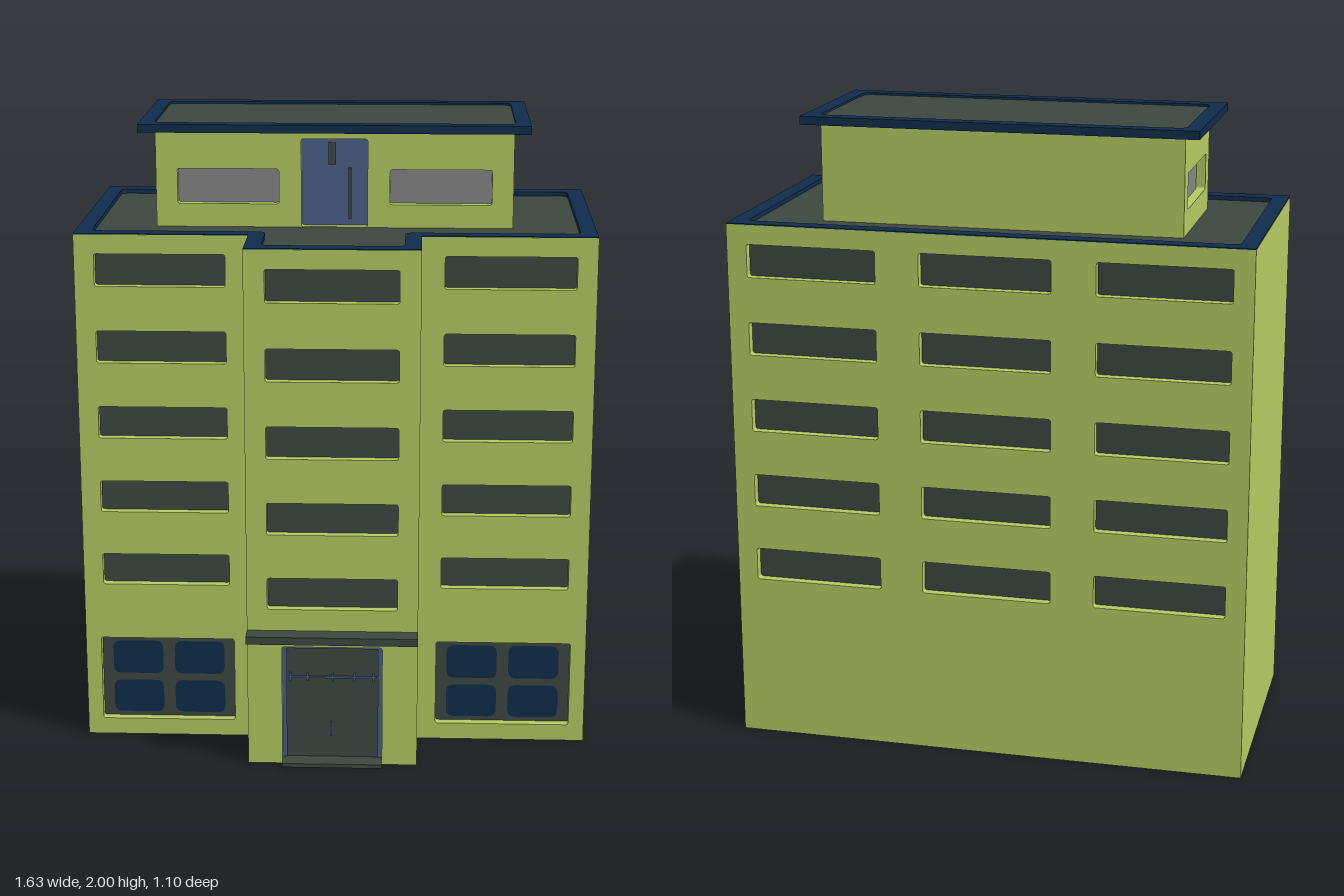
import * as THREE from 'three';

const mat = (name, color, side = THREE.FrontSide) =>
  Object.assign(new THREE.MeshStandardMaterial({ color, side }), { name });
const green = mat('lime wall', 0xb5ca62);
const charcoal = mat('charcoal', 0x3e4640, THREE.DoubleSide);
const navy = mat('navy', 0x0f2d4c, THREE.DoubleSide);
const slate = mat('slate blue', 0x4b5e88, THREE.DoubleSide);
const grey = mat('grey glass', 0x868686, THREE.DoubleSide);

const DEPTH = 0.03; // how far openings are set back

// Closed outline through corner points, each corner rounded by r
function outline(pts, r, Type = THREE.Shape) {
  const s = new Type();
  const v = pts.map(([x, y]) => new THREE.Vector2(x, y));
  v.forEach((p, i) => {
    const prev = v[(i + v.length - 1) % v.length], next = v[(i + 1) % v.length];
    const a = p.clone().add(prev.clone().sub(p).setLength(r));
    const b = p.clone().add(next.clone().sub(p).setLength(r));
    if (i === 0) s.moveTo(a.x, a.y); else s.lineTo(a.x, a.y);
    s.quadraticCurveTo(p.x, p.y, b.x, b.y);
  });
  s.closePath();
  return s;
}
const corners = (x0, x1, y0, y1) => [[x0, y0], [x1, y0], [x1, y1], [x0, y1]];
const sharp = (pts) => new THREE.Shape(pts.map(([x, y]) => new THREE.Vector2(x, y)));

function add(parent, name, geometry, material, x = 0, y = 0, z = 0) {
  const m = new THREE.Mesh(geometry, material);
  m.name = name;
  m.position.set(x, y, z);
  parent.add(m);
  return m;
}
// Box given by its limits
function box(parent, name, material, x0, x1, y0, y1, z0, z1) {
  return add(parent, name, new THREE.BoxGeometry(x1 - x0, y1 - y0, z1 - z0), material,
    (x0 + x1) / 2, (y0 + y1) / 2, (z0 + z1) / 2);
}
// Flat plate facing +z
const plate = (parent, name, material, rect, z, r = 0.008) =>
  add(parent, name, new THREE.ShapeGeometry(outline(corners(...rect), r), 3), material, 0, 0, z);

// Wall with its outer face at local z = 0, openings cut through and a panel behind each
function wall(parent, name, rect, openings, position, rotY = 0) {
  const g = new THREE.Group();
  g.name = name;
  g.position.set(...position);
  g.rotation.y = rotY;
  parent.add(g);
  const s = sharp(corners(...rect));
  openings.forEach((o) => s.holes.push(outline(corners(...o.rect), 0.008, THREE.Path)));
  const geo = new THREE.ExtrudeGeometry(s, { depth: DEPTH, bevelEnabled: false, curveSegments: 3 });
  add(g, name + 'Surface', geo.translate(0, 0, -DEPTH), green);
  for (const o of openings) {
    const [x0, x1, y0, y1] = o.rect;
    plate(g, o.name, o.material, [x0 - 0.003, x1 + 0.003, y0 - 0.003, y1 + 0.003], -DEPTH + 0.001);
  }
  return g;
}

// Horizontal layer from an (x, z) shape, top at y
function layer(parent, name, shape, depth, material, y) {
  const geo = new THREE.ExtrudeGeometry(shape, { depth, bevelEnabled: false, curveSegments: 4 });
  // plan is drawn in (x, -z)
  return add(parent, name, geo.rotateX(-Math.PI / 2), material, 0, y - depth, 0);
}

// Five storeys of window openings around a column centre
const windows = (cx) => Array.from({ length: 5 }, (_, i) => ({
  name: 'window', material: charcoal,
  rect: [cx - 0.205, cx + 0.205, 0.526 + 0.247 * i, 0.63 + 0.247 * i],
}));

function buildTower(root) {
  const g = new THREE.Group();
  g.name = 'tower';
  root.add(g);
  const top = 1.679;

  // Wings with shop windows
  for (const side of [-1, 1]) {
    const cx = 0.547 * side;
    const rect = side > 0 ? [0.25, 0.815, 0, top] : [-0.815, -0.25, 0, top];
    const wing = wall(g, 'wingFront', rect, [
      ...windows(cx),
      { name: 'shopWindowFrame', material: charcoal, rect: [cx - 0.218, cx + 0.218, 0.055, 0.34] },
    ], [0, 0, 0.28]);
    for (const dx of [-0.101, 0.101])
      for (const [y0, y1] of [[0.07, 0.182], [0.206, 0.32]])
        plate(wing, 'shopPane', navy, [cx + dx - 0.082, cx + dx + 0.082, y0, y1], -DEPTH + 0.005, 0.025);
    // side walls and projecting bay sides
    const x = 0.815 * side, b = 0.27 * side;
    box(g, 'sideWall', green, Math.min(x, x - 0.01 * side), Math.max(x, x - 0.01 * side), 0, top, -0.55, 0.28);
    box(g, 'baySide', green, Math.min(b, b - 0.01 * side), Math.max(b, b - 0.01 * side), 0, top, 0.25, 0.49);
  }

  // Central bay with entrance
  const bay = wall(g, 'bayFront', [-0.27, 0.27, 0, top], [
    ...windows(0),
    { name: 'entranceDoor', material: charcoal, rect: [-0.16, 0.158, 0.004, 0.4] },
  ], [0, 0, 0.49]);
  const frame = sharp(corners(-0.16, 0.158, 0.004, 0.4));
  frame.holes.push(new THREE.Path(corners(-0.146, 0.144, 0.004 + 0.006, 0.386).map(([x, y]) => new THREE.Vector2(x, y))));
  add(bay, 'entranceFrame', new THREE.ShapeGeometry(frame), slate, 0, 0, -DEPTH + 0.006);
  const z0 = -DEPTH, z1 = -DEPTH + 0.006;
  box(bay, 'doorRail', slate, -0.146, 0.144, 0.285, 0.291, z0, z1);
  for (const x of [-0.135, -0.08, 0, 0.07, 0.13])
    box(bay, 'railBracket', slate, x - 0.003, x + 0.003, 0.275, 0.302, z0, z1);
  box(bay, 'doorHandle', slate, -0.008, -0.003, 0.085, 0.135, z0, z1);
  box(g, 'canopy', charcoal, -0.27, 0.27, 0.43, 0.455, 0.485, 0.55);
  box(g, 'doorStep', charcoal, -0.16, 0.158, 0, 0.013, 0.46, 0.522);

  // Back wall
  wall(g, 'backWall', [-0.815, 0.815, 0, top],
    [-0.547, 0, 0.547].flatMap(windows), [0, 0, -0.55], Math.PI);

  // Roof edge and sunken deck, inset by d from the walls
  const plan = (d) => [
    [-0.815 + d, 0.55 - d], [-0.815 + d, -0.28 + d], [-0.27 + d, -0.28 + d], [-0.27 + d, -0.49 + d],
    [0.27 - d, -0.49 + d], [0.27 - d, -0.28 + d], [0.815 - d, -0.28 + d], [0.815 - d, 0.55 - d],
  ];
  const edge = sharp(plan(0.001));
  edge.holes.push(outline(plan(0.052), 0.025, THREE.Path));
  layer(g, 'roofEdge', edge, 0.02, navy, 1.682);
  layer(g, 'roofDeck', sharp(plan(0.02)), 0.006, charcoal, 1.668);
}

function buildPenthouse(root) {
  const g = new THREE.Group();
  g.name = 'penthouse';
  g.position.x = -0.009;
  root.add(g);
  const y0 = 1.666, y1 = 1.976, w = 0.566;
  const glass = (a, b) => ({ name: 'penthouseWindow', material: grey, rect: [a, b, 1.742, 1.854] });

  // Front with roof door
  const front = wall(g, 'penthouseFront', [-w, w, y0, y1], [
    glass(-0.498, -0.176), glass(0.176, 0.498),
    { name: 'roofDoor', material: slate, rect: [-0.105, 0.105, 1.67, 1.95] },
  ], [0, 0, 0.082]);
  box(front, 'roofDoorHandle', charcoal, 0.043, 0.053, 1.69, 1.855, -DEPTH, -DEPTH + 0.006);
  box(front, 'roofDoorCloser', charcoal, -0.02, 0.004, 1.865, 1.935, -DEPTH, -DEPTH + 0.006);

  // Sides, mirrored; local x runs along the depth of the building
  wall(g, 'penthouseSide', [-0.082, 0.385, y0, y1], [glass(-0.02, 0.32)], [w, 0, 0], Math.PI / 2);
  wall(g, 'penthouseSide', [-0.385, 0.082, y0, y1], [glass(-0.32, 0.02)], [-w, 0, 0], -Math.PI / 2);
  box(g, 'penthouseBack', green, -w, w, y0, y1, -0.385, -0.365);

  // Overhanging roof slab with inlaid panel
  const rim = sharp(corners(-0.616, 0.616, -0.13, 0.437));
  rim.holes.push(outline(corners(-0.568, 0.568, -0.082, 0.39), 0.03, THREE.Path));
  layer(g, 'slabRim', rim, 0.026, navy, 2);
  layer(g, 'slabPanel', sharp(corners(-0.58, 0.58, -0.095, 0.4)), 0.014, charcoal, 1.993);
}

export function createModel() {
  const root = new THREE.Group();
  root.name = 'officeBuilding';
  buildTower(root);
  buildPenthouse(root);
  return root;
}
